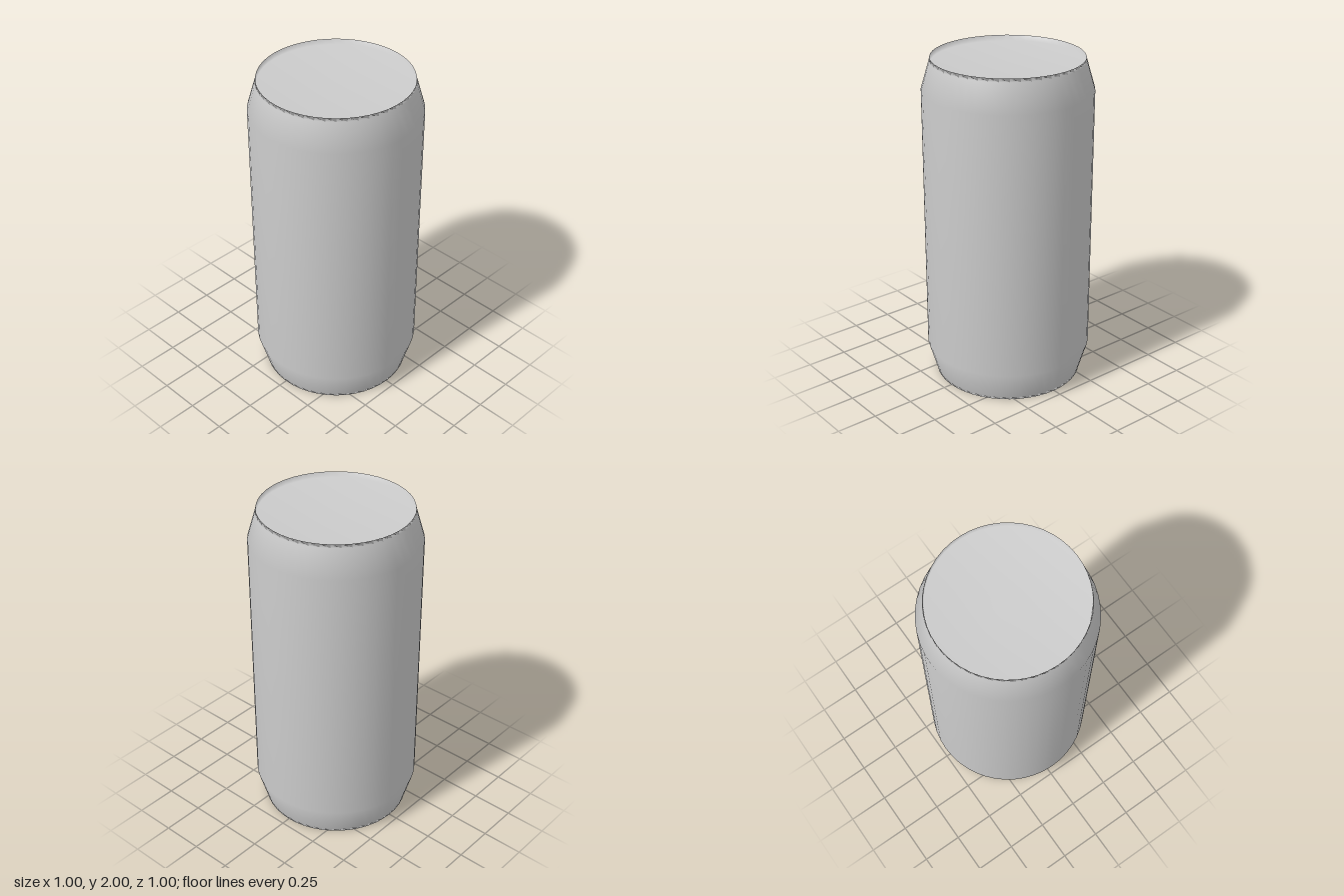
import * as THREE from 'three';

const SEGMENTS = 48;
const MID = 1; // mirror height between the two ends

export function createModel() {
  const group = new THREE.Group();
  group.name = 'can';
  const material = new THREE.MeshStandardMaterial({ color: 0xcccccc });

  // Upper half of the profile: shoulder, small bevelled rim, recessed flat lid
  const upper = [
    [0.5, 1.81],
    [0.45, 1.98],
    [0.446, 2],
    [0.443, 1.965],
    [0, 1.965],
  ];
  const lower = upper.map(([r, y]) => [r, 2 * MID - y]).reverse();
  const revolve = (name, points) => {
    const profile = points.map(([r, y]) => new THREE.Vector2(r, y));
    const mesh = new THREE.Mesh(new THREE.LatheGeometry(profile, SEGMENTS), material);
    mesh.name = name;
    group.add(mesh);
  };

  // One smooth shell from the bottom recess, over the wall, to the top recess
  revolve('canBody', [...lower, ...upper]);

  return group;
}
